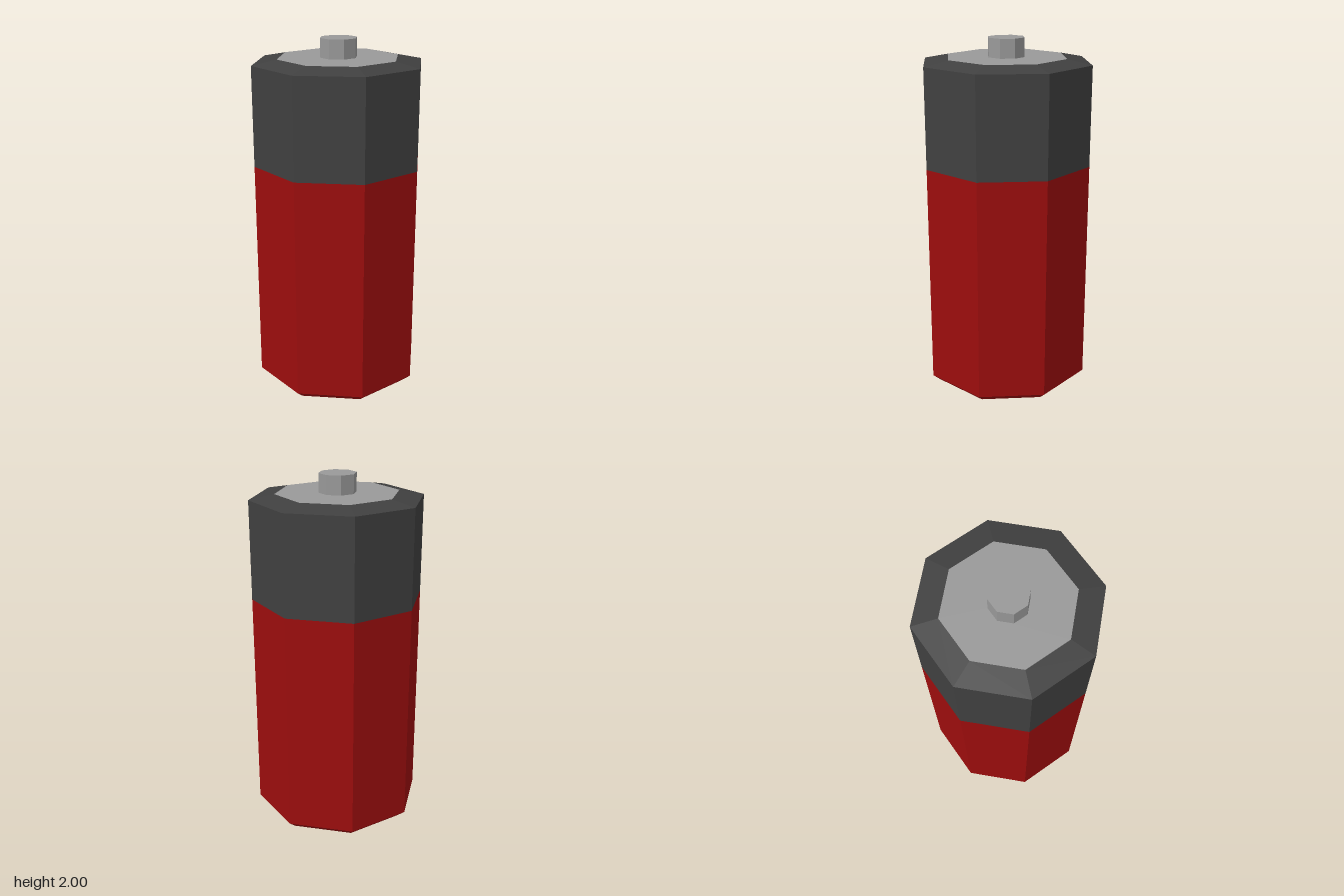
import * as THREE from 'three';

const SIDES = 8;

const mat = (name, color) => {
  const m = new THREE.MeshStandardMaterial({ color, flatShading: true });
  m.name = name;
  return m;
};

export function createModel() {
  const red = mat('red', 0x9c0d0d);
  const charcoal = mat('charcoal', 0x404040);
  const metal = mat('metal grey', 0x999999);

  const group = new THREE.Group();
  group.name = 'battery';

  // Octagonal turned part; profile is [radius, height] from bottom to top
  const turned = (name, material, profile) => {
    const points = profile.map(([r, y]) => new THREE.Vector2(r, y));
    const mesh = new THREE.Mesh(new THREE.LatheGeometry(points, SIDES), material);
    mesh.name = name;
    group.add(mesh);
  };

  // Flat base
  turned('base', charcoal, [[0, 0], [0.44, 0]]);
  // Red sleeve with bevelled lower rim
  turned('lowerSleeve', red, [[0.44, 0], [0.485, 0.04], [0.485, 1.31]]);
  // Dark sleeve with gently sloping shoulder
  turned('upperSleeve', charcoal, [[0.485, 1.31], [0.485, 1.867], [0.345, 1.895]]);
  // Metal end plate and terminal
  turned('endPlate', metal, [[0.345, 1.895], [0.105, 1.895]]);
  turned('terminal', metal, [[0.105, 1.895], [0.105, 2], [0, 2]]);

  return group;
}
